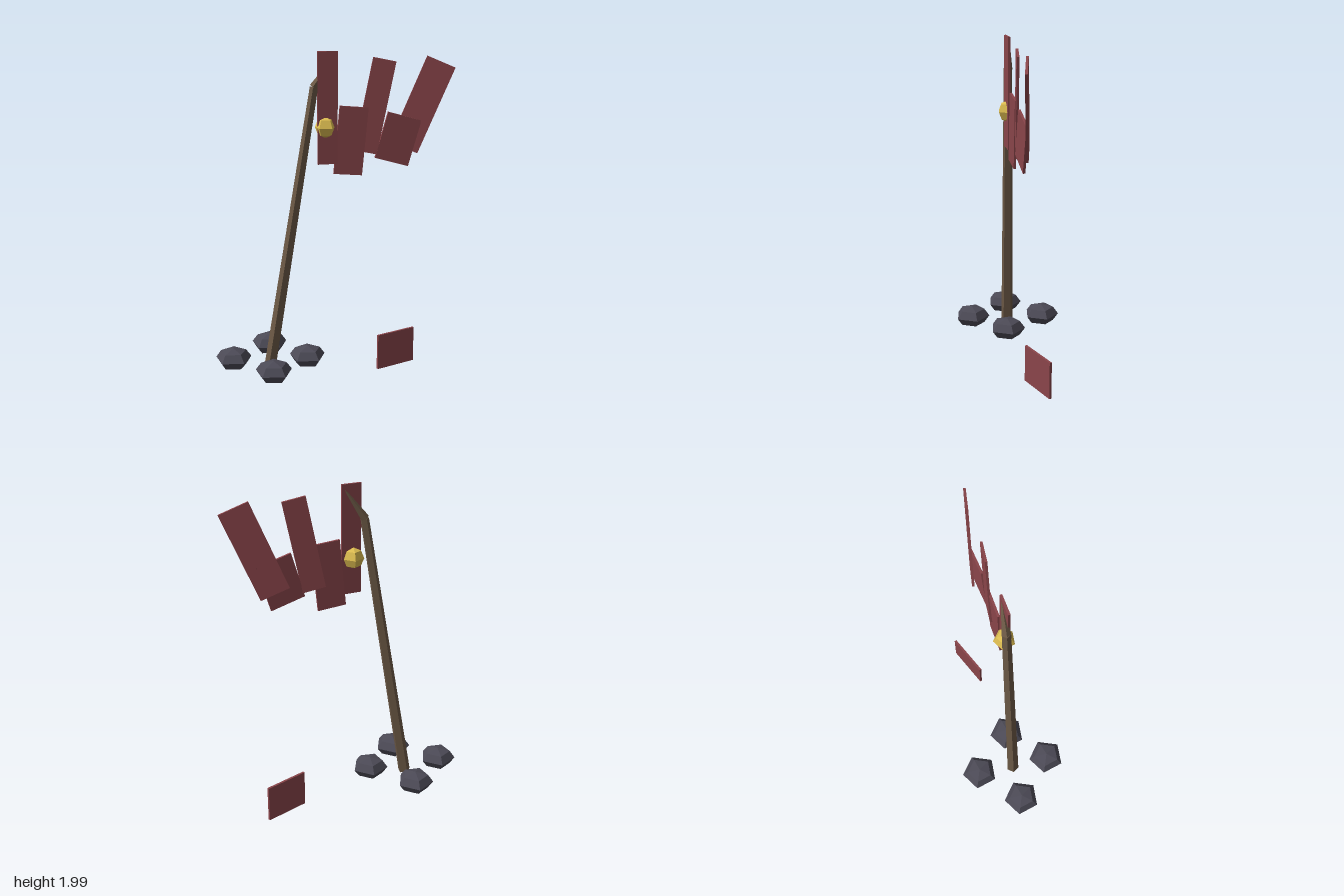
import * as THREE from 'three';

const mat = (color) => new THREE.MeshStandardMaterial({ color, flatShading: true });

export function createModel() {
  const model = new THREE.Group();
  const wood = mat(0x6b5845), cloth = mat(0x8a454a), stone = mat(0x4c4a56), gold = mat(0xdcbc50);

  const add = (name, geometry, material, x, y, z) => {
    const mesh = new THREE.Mesh(geometry, material);
    mesh.name = name;
    mesh.position.set(x, y, z);
    model.add(mesh);
    return mesh;
  };

  // Five-sided tapered bar between two points
  const bar = (name, from, to, r0, r1) => {
    const a = new THREE.Vector3(...from), b = new THREE.Vector3(...to);
    const dir = b.clone().sub(a);
    const mid = a.clone().add(b).multiplyScalar(0.5);
    const geo = new THREE.CylinderGeometry(r1, r0, dir.length(), 5, 1, false, -Math.PI / 2);
    add(name, geo, wood, mid.x, mid.y, mid.z)
      .quaternion.setFromUnitVectors(new THREE.Vector3(0, 1, 0), dir.normalize());
  };
  bar('pole', [-0.388, 0.09, 0.006], [-0.113, 1.785, 0.004], 0.038, 0.026);
  bar('brokenTip', [-0.115, 1.785, 0.004], [0.022, 1.99, 0.0], 0.027, 0);

  // Low-poly lumps: five segments, four rings, one corner towards the back
  const lump = (r) => new THREE.SphereGeometry(r, 5, 4, -Math.PI / 2);

  // Stones around the foot of the pole
  [[-0.395, -0.217], [-0.613, 0.022], [-0.37, 0.233], [-0.163, 0.008]].forEach(([x, z], i) => {
    add('stone' + (i + 1), lump(0.112), stone, x, 0.145, z).scale.y = 0.58;
  });

  add('goldKnob', lump(0.063), gold, -0.05, 1.555, 0.007);

  // Torn banner strips: width, height, centre, yaw, lean
  const strips = [
    [0.118, 0.65, [-0.038, 1.665, 0.011], 0.18, 0],
    [0.171, 0.4, [0.1, 1.47, -0.019], 0.15, -0.093],
    [0.136, 0.55, [0.241, 1.668, -0.038], 0.02, -0.197],
    [0.212, 0.28, [0.381, 1.47, -0.06], 0.18, -0.283],
    [0.178, 0.547, [0.524, 1.666, -0.084], -0.075, -0.396],
  ];
  strips.forEach(([w, h, pos, yaw, lean], i) => {
    add('bannerStrip' + (i + 1), new THREE.BoxGeometry(w, h, 0.014), cloth, ...pos)
      .rotation.set(0, yaw, lean, 'YXZ');
  });

  // Scrap standing on the ground
  add('fallenScrap', new THREE.BoxGeometry(0.274, 0.225, 0.014), cloth, 0.4, 0.1125, -0.158)
    .rotation.y = 0.5;

  return model;
}
